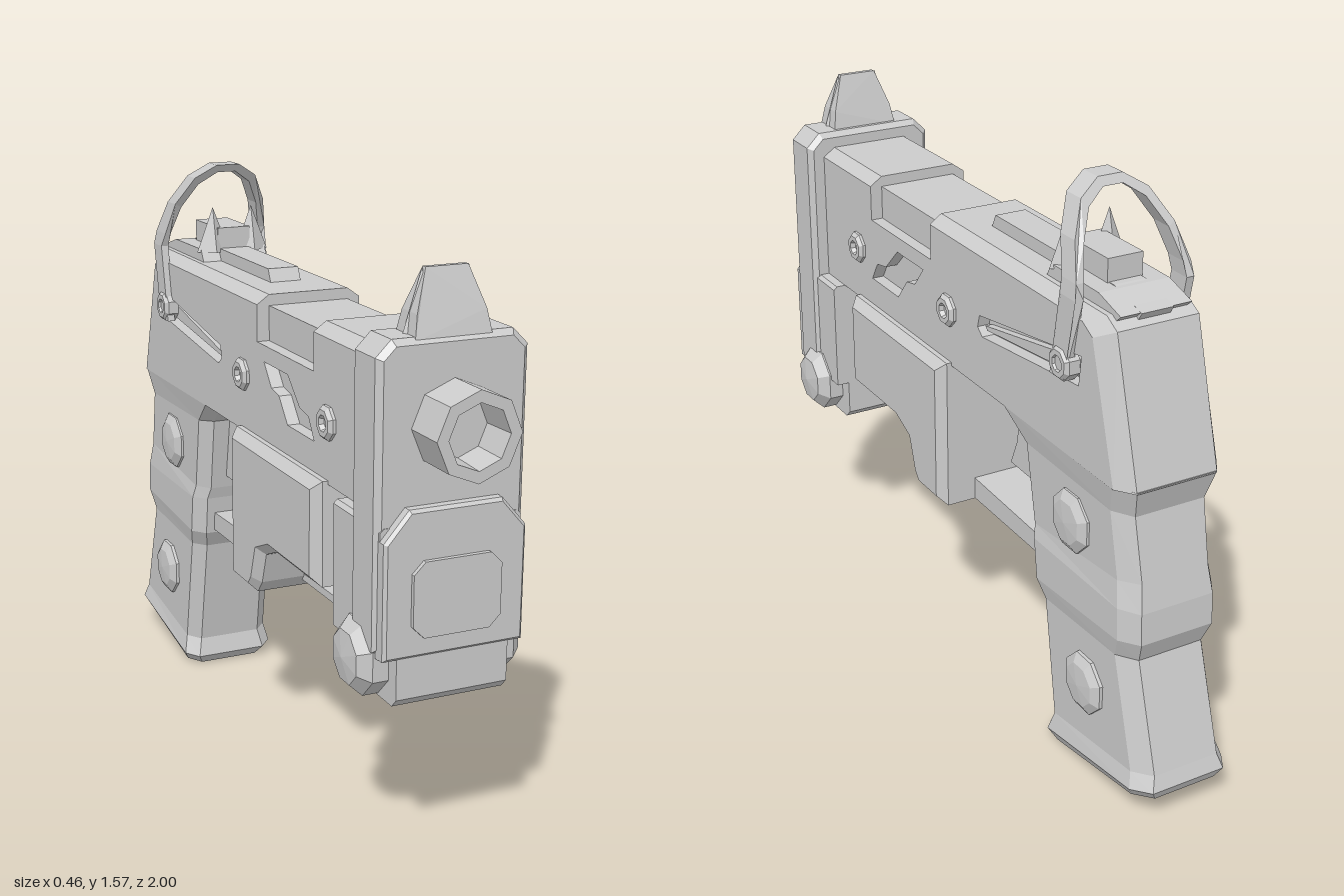
import * as THREE from 'three';

const material = new THREE.MeshStandardMaterial({ color: 0xcccccc, flatShading: true });

function outline(points) {
  return new THREE.Shape(points.map(([a, b]) => new THREE.Vector2(a, b)));
}

// Side outline in (z, y), extruded between two x positions
function sideExtrude(shape, x0, x1, bevel = 0) {
  const depth = x1 - x0 - 2 * bevel;
  const geo = new THREE.ExtrudeGeometry(shape, {
    depth, bevelEnabled: bevel > 0, bevelSize: bevel, bevelThickness: bevel, bevelOffset: -bevel, bevelSegments: 1,
  });
  return geo.rotateY(-Math.PI / 2).translate(x1 - bevel, 0, 0);
}

// Front outline in (x, y), extruded between two z positions
function frontExtrude(shape, z0, z1, bevel = 0) {
  const geo = new THREE.ExtrudeGeometry(shape, {
    depth: z1 - z0 - 2 * bevel, bevelEnabled: bevel > 0, bevelSize: bevel, bevelThickness: bevel, bevelOffset: -bevel, bevelSegments: 1,
  });
  return geo.translate(0, 0, z0 + bevel);
}

// Symmetric front outline with cut corners at top (ct) and bottom (cb)
function cutRect(w, y0, y1, ct, cb, ctY = ct) {
  const half = [[w - cb, y0], [w, y0 + cb], [w, y1 - ctY], [w - ct, y1]];
  const pts = half.concat(half.map(([x, y]) => [-x, y]).reverse());
  return outline(pts.filter((p, i) => !i || p[0] !== pts[i - 1][0] || p[1] !== pts[i - 1][1]));
}

function moveVertices(geo, rule) {
  const pos = geo.attributes.position, v = new THREE.Vector3();
  for (let i = 0; i < pos.count; i++) {
    rule(v.fromBufferAttribute(pos, i));
    pos.setXYZ(i, v.x, v.y, v.z);
  }
  geo.computeVertexNormals();
  return geo;
}

// Skin over closed rings listed from bottom to top, with end caps
function loft(rings) {
  const n = rings[0].length, index = [];
  for (let r = 0; r < rings.length - 1; r++) {
    for (let i = 0; i < n; i++) {
      const a = r * n + i, b = r * n + (i + 1) % n;
      index.push(a, b, a + n, b, b + n, a + n);
    }
  }
  const top = (rings.length - 1) * n;
  for (let i = 1; i < n - 1; i++) index.push(0, i + 1, i, top, top + i, top + i + 1);
  const geo = new THREE.BufferGeometry();
  geo.setAttribute('position', new THREE.Float32BufferAttribute(rings.flat(2), 3));
  geo.setIndex(index);
  geo.computeVertexNormals();
  return geo;
}

export function createModel() {
  const model = new THREE.Group();
  const add = (name, geo) => {
    const mesh = new THREE.Mesh(geo, material);
    mesh.name = name;
    model.add(mesh);
    return mesh;
  };
  const box = (name, x, y0, y1, z0, z1) =>
    add(name, new THREE.BoxGeometry(2 * x, y1 - y0, z1 - z0).translate(0, (y0 + y1) / 2, (z0 + z1) / 2));
  // Eight-sided turned part pointing outwards on both sides
  const sidePair = (name, profile, x, y, z) => {
    for (const s of [1, -1]) {
      const geo = new THREE.LatheGeometry(profile.map(p => new THREE.Vector2(...p)), 8, Math.PI / 8);
      add(name, geo.rotateZ(-s * Math.PI / 2).translate(s * x, y, z));
    }
  };

  // Body core
  add('bodyCore', sideExtrude(outline([
    [0.75, 0.91], [0.75, 1.305], [0.43, 1.305], [0.43, 1.275], [0.07, 1.275], [0.07, 1.305],
    [-0.74, 1.305], [-0.785, 1.28], [-0.89, 0.905], [-0.3, 0.91],
  ]), -0.115, 0.115));

  // Body side plates with recessed slot and emblem-free relief cut
  const plate = outline([
    [0.75, 0.91], [0.75, 1.305], [0.43, 1.305], [0.43, 1.18], [0.07, 1.18], [0.07, 1.305],
    [-0.74, 1.305], [-0.785, 1.28], [-0.89, 0.905], [-0.28, 0.91],
  ]);
  plate.holes.push(
    outline([[0.435, 1.0], [0.4, 1.055], [0.345, 1.065], [0.27, 1.135], [0.115, 1.135], [0.165, 1.075], [0.215, 1.065], [0.27, 1.0]]),
    outline([[-0.19, 1.08], [-0.215, 1.06], [-0.68, 1.11], [-0.69, 1.19], [-0.66, 1.185], [-0.2, 1.115]]),
  );
  for (const s of [1, -1]) {
    const [x0, x1] = s > 0 ? [0.115, 0.15] : [-0.15, -0.115];
    add('bodySide', moveVertices(sideExtrude(plate, x0, x1), v => {
      if (Math.abs(v.x) < 0.14) return;
      if (v.y > 1.24) v.y -= 0.025;
      if (v.z < -0.7) v.z += 0.05;
    }));
    add('slotBar', sideExtrude(outline([[-0.205, 1.085], [-0.215, 1.075], [-0.67, 1.125], [-0.67, 1.17]]), s > 0 ? 0.11 : -0.135, s > 0 ? 0.135 : -0.11));
  }

  // Grip: front z, front y, back z, back y, half width
  const stations = [
    [-0.545, 0.005, -0.985, 0.08, 0.125], [-0.52, 0.035, -1.0, 0.11, 0.142],
    [-0.535, 0.09, -0.985, 0.15, 0.13], [-0.478, 0.42, -0.895, 0.44, 0.128],
    [-0.45, 0.47, -0.92, 0.5, 0.14], [-0.435, 0.585, -0.915, 0.585, 0.14],
    [-0.425, 0.62, -0.9, 0.66, 0.132], [-0.385, 0.84, -0.865, 0.83, 0.135],
    [-0.285, 0.915, -0.89, 0.91, 0.15],
  ];
  add('grip', loft(stations.map(([zf, yf, zb, yb, w]) => {
    const half = [[w - 0.035, zf], [w, zf - 0.035], [w, zb + 0.055], [w - 0.035, zb]];
    return half.concat(half.map(([x, z]) => [-x, z]).reverse())
      .map(([x, z]) => [x, yf + (yb - yf) * (z - zf) / (zb - zf), z]);
  })));
  const dome = [[0.085, -0.02], [0.085, 0.01], [0.06, 0.025], [0, 0.03]];
  sidePair('gripMedallion', dome, 0.13, 0.72, -0.64);
  sidePair('gripMedallion', dome, 0.128, 0.28, -0.715);

  // Side screws with a hollow centre
  const screw = [[0.046, -0.02], [0.046, 0.01], [0.036, 0.02], [0.022, 0.02], [0.018, 0.006], [0, 0.006]];
  sidePair('sideScrew', screw, 0.148, 1.07, 0.52);
  sidePair('sideScrew', screw, 0.148, 1.07, -0.03);
  sidePair('sightPivot', screw, 0.155, 1.15, -0.62);

  // Front plate and barrel
  add('frontPlate', frontExtrude(cutRect(0.197, 0.6, 1.35, 0.04, 0), 0.745, 0.878, 0.015));
  const bore = [[0.11, 0.85], [0.11, 1], [0.08, 1], [0.075, 0.9], [0, 0.9]];
  add('barrel', new THREE.LatheGeometry(bore.map(p => new THREE.Vector2(...p)), 8).rotateX(Math.PI / 2).translate(0, 1.14, 0));

  // Lower front housing, panel and knobs
  add('lowerHousing', frontExtrude(cutRect(0.187, 0.585, 0.91, 0.01, 0), 0.63, 0.88));
  add('housingFace', frontExtrude(cutRect(0.188, 0.588, 0.955, 0.065, 0, 0.075), 0.86, 0.908, 0.008));
  add('housingPanel', frontExtrude(cutRect(0.117, 0.64, 0.83, 0.03, 0.03), 0.9, 0.92));
  add('housingFoot', sideExtrude(outline([[0.63, 0.6], [0.63, 0.485], [0.655, 0.462], [0.88, 0.462], [0.902, 0.485], [0.902, 0.6]]), -0.15, 0.15));
  sidePair('knob', [[0.1, 0], [0.1, 0.045], [0.07, 0.075], [0, 0.085]], 0.147, 0.56, 0.77);

  // Magazine block under the body
  add('magazineBlock', sideExtrude(outline([
    [0.52, 0.92], [0.52, 0.64], [0.23, 0.64], [0.16, 0.61], [0.13, 0.52], [0.1, 0.483], [-0.045, 0.483], [-0.045, 0.92],
  ]), -0.19, 0.19, 0.025));

  // Guard bars and trigger
  add('frontBar', sideExtrude(outline([[0.65, 0.51], [0.65, 0.535], [0.1, 0.525], [0.1, 0.505]]), -0.04, 0.04));
  add('triggerGuard', sideExtrude(outline([[0, 0.485], [0, 0.55], [-0.47, 0.535], [-0.47, 0.48]]), -0.08, 0.08));
  add('trigger', sideExtrude(outline([[-0.24, 0.92], [-0.245, 0.83], [-0.225, 0.73], [-0.195, 0.66], [-0.43, 0.655], [-0.4, 0.92]]), -0.05, 0.05));

  // Front sight: a wedge thinning upwards, with a horn on each side
  const wedge = outline([[-0.1, 1.34], [0.1, 1.34], [0.09, 1.4], [0.055, 1.5], [-0.055, 1.5], [-0.09, 1.4]]);
  add('frontSight', moveVertices(frontExtrude(wedge, 0.77, 0.87), v => {
    const k = v.y > 1.45 ? 0.15 : v.y > 1.38 ? 0.75 : 1;
    v.z = 0.82 + (v.z - 0.82) * k;
  }));
  for (const s of [1, -1]) {
    add('frontSightHorn', new THREE.ConeGeometry(0.05, 0.16, 4).translate(s * 0.06, 1.42, 0.82));
    add('rearSightHorn', new THREE.ConeGeometry(0.05, 0.13, 4).scale(1, 1, 0.6).translate(s * 0.06, 1.395, -0.475));
  }

  // Top rail and rear sight base
  add('topRail', sideExtrude(outline([[-0.08, 1.3], [-0.1, 1.34], [-0.66, 1.34], [-0.78, 1.31], [-0.76, 1.28]]), -0.045, 0.045));
  add('rearDeck', sideExtrude(outline([[-0.44, 1.29], [-0.47, 1.34], [-0.68, 1.338], [-0.775, 1.31], [-0.74, 1.28]]), -0.1, 0.1));
  box('rearSightBlock', 0.05, 1.33, 1.4, -0.64, -0.46);

  // Hoop over the rear sight: an arch leaning forward as it rises
  const outer = [[0.168, 1.11], [0.168, 1.33], [0.162, 1.37], [0.14, 1.46], [0.095, 1.54], [0.035, 1.577]];
  const inner = [[0.146, 1.11], [0.146, 1.33], [0.14, 1.37], [0.119, 1.45], [0.08, 1.52], [0.028, 1.555]];
  const flip = pts => pts.map(([x, y]) => [-x, y]);
  const hoop = outline([...outer, ...flip(outer).reverse(), ...flip(inner), ...inner.slice().reverse()]);
  const lean = [[1.11, -0.61], [1.33, -0.655], [1.4, -0.64], [1.58, -0.53]];
  add('sightHoop', moveVertices(frontExtrude(hoop, -0.032, 0.032), v => {
    const i = v.y < 1.33 ? 0 : v.y < 1.4 ? 1 : 2;
    const [y0, z0] = lean[i], [y1, z1] = lean[i + 1];
    v.z += z0 + (z1 - z0) * (v.y - y0) / (y1 - y0);
  }));

  return model;
}
